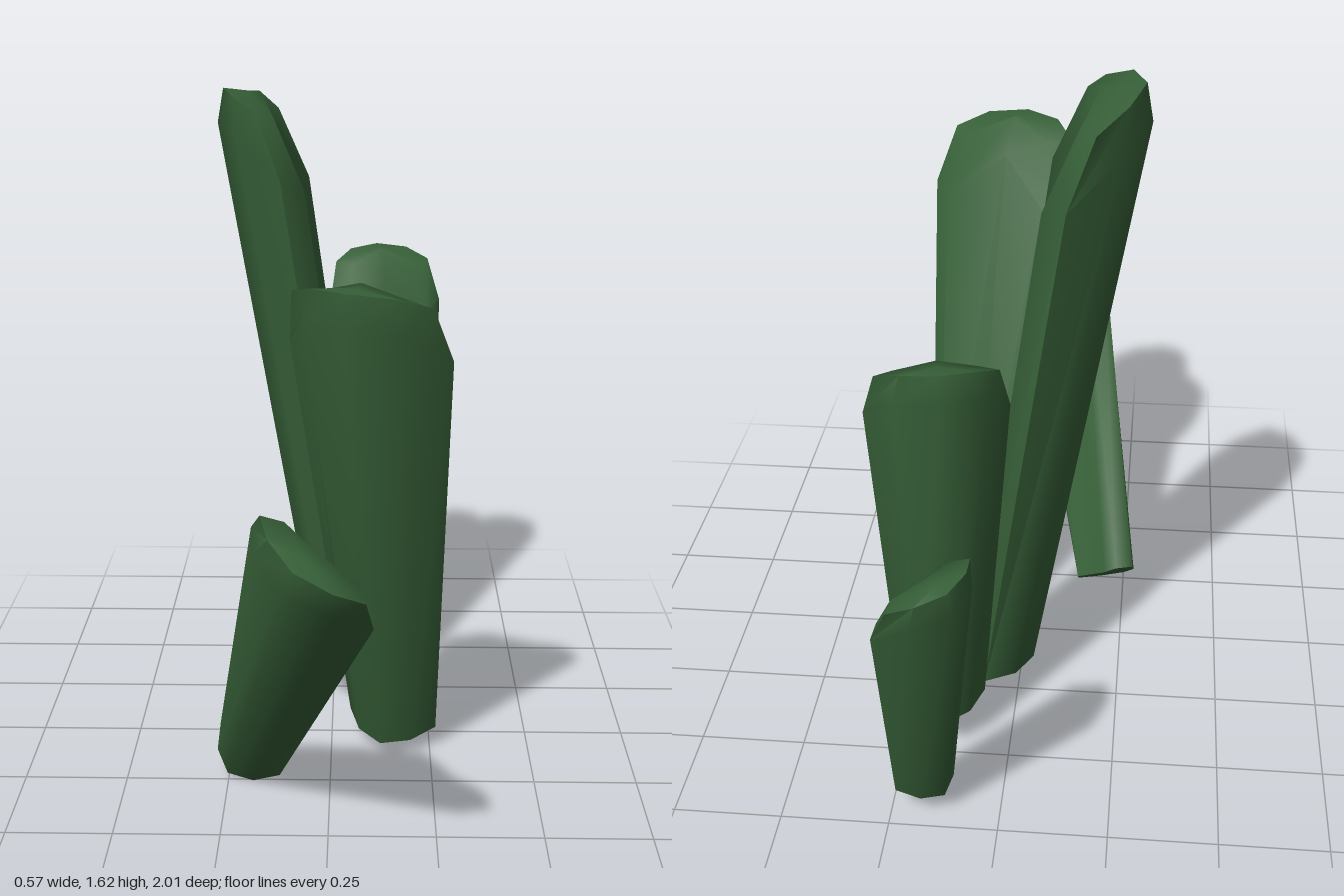
import * as THREE from 'three';
import { toCreasedNormals } from 'three/addons/utils/BufferGeometryUtils.js';

// Cross-section: u runs across the blade, v towards its grooved inner side
const SECTION = [
  [-1, 0.3], [-0.6, -0.75], [0, -1.3], [0.6, -0.75],
  [1, 0.3], [0.7, 0.95], [0, 0.35], [-0.7, 0.95],
];

// Tapered blade: widens from base to shoulder, then its inner side rounds back to a blunt tip
function bladeGeometry({ base, tip, across, width, thick }) {
  const start = new THREE.Vector3(...base);
  const axis = new THREE.Vector3(...tip).sub(start);
  const length = axis.length();
  axis.normalize();
  const w = new THREE.Vector3(...across);
  w.addScaledVector(axis, -w.dot(axis)).normalize();
  const n = new THREE.Vector3().crossVectors(axis, w);
  const half = width[1];

  const point = (u, v, drop) => {
    const t = 1 - drop / length;
    return start.clone()
      .addScaledVector(axis, t * length)
      .addScaledVector(w, u * THREE.MathUtils.lerp(width[0], width[1], t))
      .addScaledVector(n, v * THREE.MathUtils.lerp(thick[0], thick[1], t));
  };
  const inner = (v) => Math.max(v, 0);
  const rings = [
    SECTION.map(([u, v]) => point(u, v, length)),
    SECTION.map(([u, v]) => point(u, v - 0.15 * inner(v), half * (0.35 + 0.45 * u * u + 0.6 * inner(v)))),
    SECTION.map(([u, v]) => point(0.8 * u, 0.56 * v - 0.27, half * (0.2 * u * u + 0.25 * inner(v)))),
  ];

  const positions = [];
  const triangle = (...corners) => corners.forEach((p) => positions.push(p.x, p.y, p.z));
  const bottom = point(0, -0.2, length);
  const top = point(0, -0.45, half * 0.06);
  for (let i = 0; i < SECTION.length; i++) {
    const j = (i + 1) % SECTION.length;
    for (let r = 0; r < 2; r++) {
      const a = rings[r], b = rings[r + 1];
      triangle(a[i], a[j], b[j]);
      triangle(a[i], b[j], b[i]);
    }
    triangle(bottom, rings[0][j], rings[0][i]);
    triangle(top, rings[2][i], rings[2][j]);
  }
  const geometry = new THREE.BufferGeometry();
  geometry.setAttribute('position', new THREE.Float32BufferAttribute(positions, 3));
  return toCreasedNormals(geometry, 1.4);
}

// Widths and thicknesses are half sizes at the base and the tip
const BLADES = {
  frontBlade: {
    base: [-0.21, 0.048, 0.207], tip: [-0.007, 0.905, 0.945], across: [0.74, -0.58, 0.32],
    width: [0.098, 0.17], thick: [0.052, 0.078],
  },
  frontMiddleBlade: {
    base: [0.15, 0.058, 0.058], tip: [0.07, 1.308, 0.422], across: [0.94, -0.08, 0.33],
    width: [0.115, 0.205], thick: [0.06, 0.09],
  },
  tallBlade: {
    base: [0.052, 0.1, -0.225], tip: [-0.18, 1.632, -0.278], across: [0, 0, 1],
    width: [0.125, 0.23], thick: [0.07, 0.095],
  },
  backMiddleBlade: {
    base: [0.16, 0.12, -0.445], tip: [0.126, 1.16, -0.633], across: [-0.98, 0, 0.19],
    width: [0.1, 0.163], thick: [0.06, 0.075],
  },
  backBlade: {
    base: [0.17, 0.08, -0.67], tip: [0.113, 0.838, -0.933], across: [-0.7, 0.17, 0.68],
    width: [0.08, 0.135], thick: [0.05, 0.065],
  },
};

export function createModel() {
  const group = new THREE.Group();
  group.name = 'bladeCluster';
  const green = new THREE.MeshStandardMaterial({ color: 0x376038 });
  green.name = 'leafGreen';
  for (const [name, spec] of Object.entries(BLADES)) {
    const mesh = new THREE.Mesh(bladeGeometry(spec), green);
    mesh.name = name;
    group.add(mesh);
  }
  return group;
}
